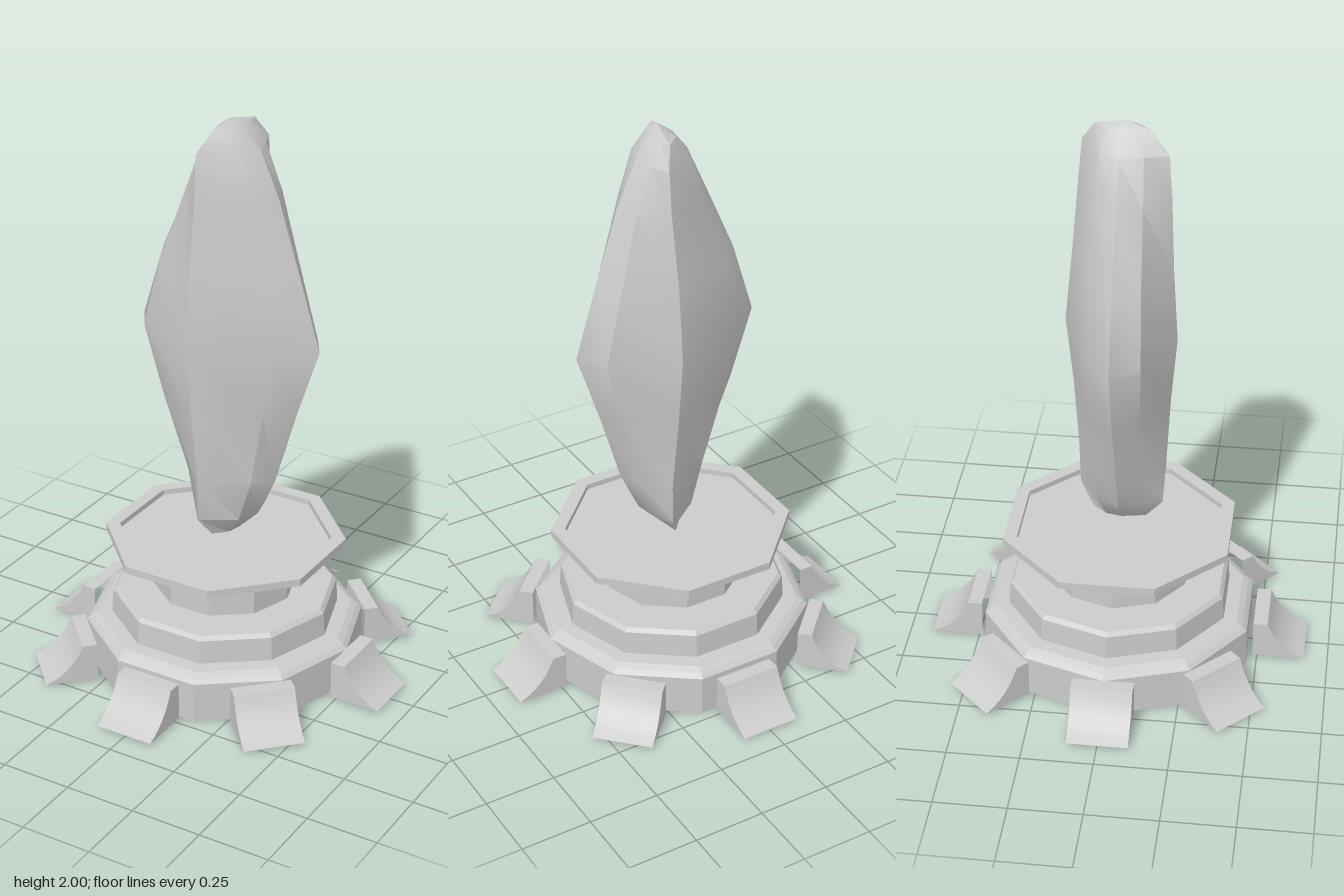
import * as THREE from 'three';
import { toCreasedNormals } from 'three/addons/utils/BufferGeometryUtils.js';

const flat = new THREE.MeshStandardMaterial({ color: 0xcccccc, flatShading: true, side: THREE.DoubleSide });
const creased = new THREE.MeshStandardMaterial({ color: 0xcccccc, side: THREE.DoubleSide });

function addMesh(parent, name, geometry, material) {
  const mesh = new THREE.Mesh(geometry, material);
  mesh.name = name;
  parent.add(mesh);
  return mesh;
}

// Faceted turned form from [radius, height] pairs
function turned(profile, sides, start) {
  return new THREE.LatheGeometry(profile.map(([r, y]) => new THREE.Vector2(r, y)), sides, start);
}

// Triangles between rows of points, optionally closed around
function loft(rows, closed) {
  const pos = rows.flat(2);
  const n = rows[0].length;
  const index = [];
  for (let r = 0; r < rows.length - 1; r++) {
    for (let i = 0; i < (closed ? n : n - 1); i++) {
      const j = (i + 1) % n;
      const a = r * n + i, b = r * n + j, c = b + n, d = a + n;
      index.push(a, b, d, b, c, d);
    }
  }
  const geometry = new THREE.BufferGeometry();
  geometry.setAttribute('position', new THREE.Float32BufferAttribute(pos, 3));
  geometry.setIndex(index);
  return geometry;
}

// Long crystal with a skewed eight-sided section
function crystalGeometry() {
  // height, centre x, half width, front z, back z
  const sections = [
    [0.48, 0.02, 0, 0, 0],
    [0.505, 0.02, 0.035, 0.09, -0.1],
    [0.58, 0.03, 0.1, 0.15, -0.15],
    [0.73, 0.035, 0.165, 0.16, -0.155],
    [1.0, 0.02, 0.26, 0.175, -0.17],
    [1.24, 0.02, 0.34, 0.195, -0.195],
    [1.5, 0.02, 0.26, 0.18, -0.17],
    [1.75, 0.035, 0.165, 0.17, -0.15],
    [1.905, 0.035, 0.095, 0.16, -0.135],
    [1.975, 0.035, 0.04, 0.1, -0.09],
    [2.0, 0.035, 0, 0.02, 0.02],
  ];
  const rows = sections.map(([y, cx, h, zf, zb]) => {
    const skew = 0.05 * Math.min(1, h / 0.09);
    return [
      [cx + h, y, h ? 0 : zf],
      [cx + 0.82 * h, y, 0.5 * zb + (h ? 0 : 0.5 * zb)],
      [cx + skew, y, zb],
      [cx - 0.68 * h, y, h ? 0.5 * zb : zb],
      [cx - h, y, h ? 0 : zf],
      [cx - 0.82 * h, y, h ? 0.5 * zf : zf],
      [cx - skew, y, zf],
      [cx + 0.68 * h, y, h ? 0.5 * zf : zf],
    ];
  });
  return toCreasedNormals(loft(rows, true), 0.55);
}

// Flared foot: flat top, concave slope and two cheeks, open behind and below
function makeFoot() {
  const foot = new THREE.Group();
  const w = 0.106;
  const curve = new THREE.QuadraticBezierCurve(
    new THREE.Vector2(0.535, 0.145), new THREE.Vector2(0.575, 0.045), new THREE.Vector2(0.667, 0.01));
  const slope = curve.getPoints(6);
  const outline = [new THREE.Vector2(0.485, 0.145), ...slope];
  const rows = outline.map((p) => [[w, p.y, p.x], [-w, p.y, p.x]]).reverse();
  rows.forEach((row) => row.reverse());
  addMesh(foot, 'footTop', toCreasedNormals(loft(rows, false), 0.6), creased);

  const cheek = new THREE.ShapeGeometry(new THREE.Shape([new THREE.Vector2(0.485, 0.01), ...outline]));
  for (const side of [-1, 1]) {
    const mesh = addMesh(foot, 'footCheek', cheek, flat);
    mesh.rotation.y = -Math.PI / 2;
    mesh.position.x = side * w;
  }
  return foot;
}

export function createModel() {
  const model = new THREE.Group();
  model.name = 'crystalPedestal';

  // Hollow stepped pedestal, ten-sided
  const tiers = [
    ['lowerTier', [[0.488, 0], [0.488, 0.145], [0.472, 0.16], [0.45, 0.172], [0.4, 0.175]]],
    ['middleTier', [[0.4, 0.175], [0.395, 0.26], [0.382, 0.274], [0.25, 0.276]]],
    ['upperTier', [[0.25, 0.276], [0.25, 0.39], [0.24, 0.408], [0.215, 0.416], [0, 0.418]]],
  ];
  for (const [name, profile] of tiers) {
    addMesh(model, name, turned(profile, 10, Math.PI / 2), flat);
  }

  // Floating octagonal tray with a raised rim
  const tray = [[0, 0.448], [0.422, 0.448], [0.422, 0.475], [0.373, 0.475], [0.373, 0.455], [0, 0.455]];
  addMesh(model, 'tray', turned(tray, 8, Math.PI / 8), flat);

  addMesh(model, 'crystal', crystalGeometry(), creased);

  // Ring of eight feet
  for (let i = 0; i < 8; i++) {
    const foot = makeFoot();
    foot.name = 'foot';
    foot.rotation.y = (i * Math.PI) / 4;
    model.add(foot);
  }
  return model;
}
